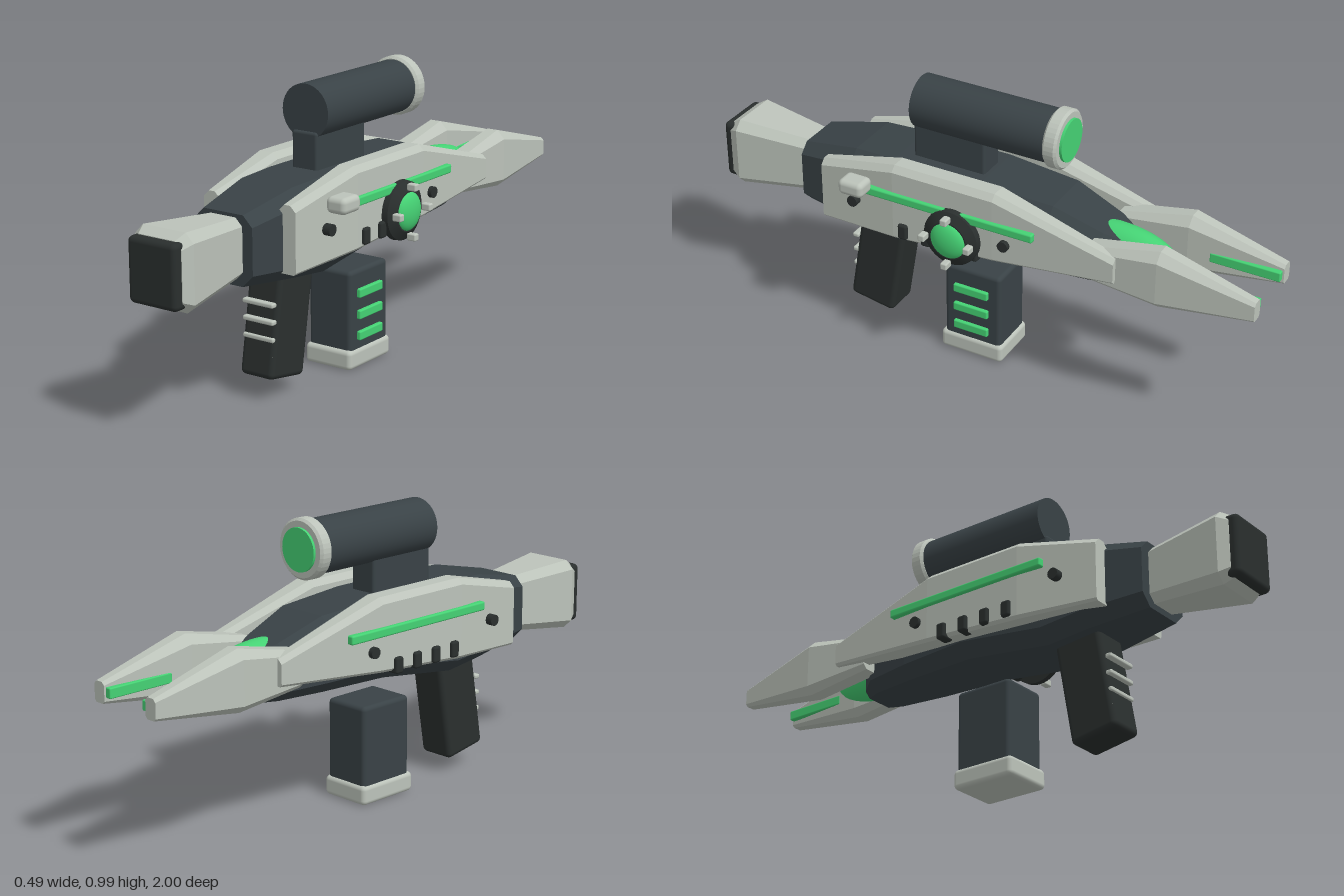
import * as THREE from 'three';
import { RoundedBoxGeometry } from 'three/addons/geometries/RoundedBoxGeometry.js';

const CX = -0.028; // centre line of the blaster
const mat = (color, flatShading = false) => new THREE.MeshStandardMaterial({ color, flatShading });
const LIGHT = 0xbcc3ba, DARK = 0x394246, BLACK = 0x2a2f2e, GREEN = 0x45d274;

// Loft of chamfered rectangles; section = [z, centreX, halfWidth, bottom, top, bottomChamfer, topChamfer]
function loft(sections) {
  const rings = [...sections].sort((a, b) => a[0] - b[0]).map(([z, x, w, y0, y1, cb, ct]) => [
    [x + w - cb, y0, z], [x + w, y0 + cb, z], [x + w, y1 - ct, z], [x + w - ct, y1, z],
    [x - w + ct, y1, z], [x - w, y1 - ct, z], [x - w, y0 + cb, z], [x - w + cb, y0, z],
  ]);
  const index = [];
  const last = (rings.length - 1) * 8;
  for (let i = 0; i < last; i += 8) {
    for (let k = 0; k < 8; k++) {
      const a = i + k, b = i + (k + 1) % 8;
      index.push(a, b, a + 8, b, b + 8, a + 8);
    }
  }
  for (let k = 1; k < 7; k++) index.push(0, k + 1, k, last, last + k, last + k + 1);
  const g = new THREE.BufferGeometry();
  g.setAttribute('position', new THREE.Float32BufferAttribute(rings.flat(2), 3));
  g.setIndex(index);
  const flat = g.toNonIndexed();
  flat.computeVertexNormals();
  return flat;
}

export function createModel() {
  const model = new THREE.Group();
  model.name = 'blaster';

  function add(name, geometry, color, x = 0, y = 0, z = 0, flat = false) {
    const mesh = new THREE.Mesh(geometry, mat(color, flat));
    mesh.name = name;
    mesh.position.set(x, y, z);
    model.add(mesh);
    return mesh;
  }
  const box = (name, color, w, h, d, x, y, z, r = 0.01) =>
    add(name, new RoundedBoxGeometry(w, h, d, 3, r), color, x, y, z);
  const rodZ = (name, color, r, z0, z1, x, y) =>
    add(name, new THREE.CylinderGeometry(r, r, z1 - z0, 40).rotateX(Math.PI / 2), color, x, y, (z0 + z1) / 2);
  const rodX = (r0, r1, h, seg) => new THREE.CylinderGeometry(r1, r0, h, seg).rotateZ(-Math.PI / 2);

  // Receiver
  add('body', loft([
    [0.665, CX, 0.112, 0.428, 0.655, 0.04, 0.035],
    [0.45, CX, 0.145, 0.408, 0.7, 0.045, 0.045],
    [0.3, CX, 0.15, 0.393, 0.705, 0.045, 0.045],
    [-0.02, CX, 0.15, 0.436, 0.705, 0.045, 0.045],
    [-0.28, CX, 0.13, 0.44, 0.69, 0.04, 0.04],
    [-0.45, CX, 0.105, 0.443, 0.63, 0.035, 0.035],
    [-0.5, CX, 0.07, 0.444, 0.61, 0.02, 0.02],
  ]), DARK);

  // Stock and butt pad
  add('stock', loft([
    [0.64, CX, 0.07, 0.452, 0.642, 0.025, 0.025],
    [0.935, CX, 0.112, 0.418, 0.665, 0.03, 0.03],
    [0.97, CX, 0.095, 0.436, 0.645, 0.025, 0.025],
  ]), LIGHT);
  box('buttPad', BLACK, 0.186, 0.208, 0.06, CX, 0.539, 0.97, 0.018);

  // Glowing emitter between the prongs
  add('emitter', new THREE.SphereGeometry(1, 32, 20).scale(0.07, 0.088, 0.22), GREEN, CX, 0.548, -0.46);

  // Mirrored plates, prongs and trim
  for (const s of [1, -1]) {
    const side = (sections) => loft(sections.map(([z, off, ...rest]) => [z, CX + s * off, ...rest]));
    add('sidePlate', side([
      [0.54, 0.148, 0.032, 0.45, 0.67, 0.008, 0.02],
      [0.25, 0.159, 0.046, 0.465, 0.738, 0.01, 0.02],
      [-0.12, 0.159, 0.046, 0.492, 0.738, 0.01, 0.02],
      [-0.54, 0.157, 0.027, 0.53, 0.618, 0.008, 0.015],
    ]), LIGHT);
    add('prong', side([
      [-0.43, 0.12, 0.042, 0.5, 0.62, 0.015, 0.015],
      [-0.68, 0.12, 0.05, 0.473, 0.674, 0.025, 0.03],
      [-1, 0.12, 0.023, 0.517, 0.585, 0.008, 0.01],
    ]), LIGHT);
    box('prongStrip', GREEN, 0.022, 0.034, 0.24, CX + s * 0.086, 0.553, -0.875, 0.004);
    box('sideStrip', GREEN, 0.03, 0.03, 0.62, CX + s * 0.203, 0.63, 0.04, 0.006);
    for (const z of [0.4, -0.165])
      add('bolt', rodX(0.019, 0.019, 0.05, 16), BLACK, CX + s * 0.193, 0.57, z);
    for (let i = 0; i < 4; i++)
      box('vent', BLACK, 0.05, 0.055, 0.034, CX + s * 0.193, 0.507, 0.21 - i * 0.088, 0.008);
  }

  // Power dial with four lugs, and the selector knob
  add('dial', rodX(0.1, 0.098, 0.022, 40), BLACK, 0.187, 0.55, 0.02);
  add('dialRim', rodX(0.098, 0.068, 0.018, 40), BLACK, 0.207, 0.55, 0.02);
  add('dialLens', new THREE.SphereGeometry(1, 32, 20).scale(0.03, 0.066, 0.066), GREEN, 0.208, 0.55, 0.02);
  for (let i = 0; i < 4; i++) {
    const a = i * Math.PI / 2;
    box('dialLug', LIGHT, 0.034, 0.024, 0.024, 0.23, 0.55 + 0.083 * Math.cos(a), 0.02 + 0.083 * Math.sin(a), 0.005);
  }
  box('selectorKnob', LIGHT, 0.075, 0.054, 0.092, 0.21, 0.653, 0.372, 0.018);

  // Scope
  box('scopeMount', DARK, 0.1, 0.15, 0.265, CX, 0.752, 0.125, 0.01);
  rodZ('scopeTube', DARK, 0.09, -0.25, 0.25, CX, 0.89);
  const ring = new THREE.LatheGeometry([[0, -0.025], [0.092, -0.025], [0.1, -0.017], [0.1, 0.017], [0.092, 0.025], [0, 0.025]]
    .map(([r, y]) => new THREE.Vector2(r, y)), 40).rotateX(Math.PI / 2).toNonIndexed();
  ring.computeVertexNormals();
  add('scopeRing', ring, LIGHT, CX, 0.89, -0.262);
  rodZ('scopeLens', GREEN, 0.072, -0.296, -0.27, CX, 0.89);

  // Grip with ribs on its rear face
  const grip = box('grip', BLACK, 0.132, 0.42, 0.172, CX, 0.272, 0.402, 0.018);
  grip.rotation.x = -0.165;
  for (let i = 0; i < 4; i++)
    box('gripRib', LIGHT, 0.122, 0.016, 0.024, CX, 0.32 - i * 0.057, 0.495, 0.006);

  // Detached power cell
  box('cell', DARK, 0.17, 0.29, 0.212, CX, 0.195, 0.02, 0.015);
  box('cellBase', LIGHT, 0.186, 0.068, 0.234, CX, 0.036, 0.022, 0.016);
  for (const y of [0.26, 0.186, 0.113])
    box('cellLight', GREEN, 0.03, 0.031, 0.13, 0.055, y, 0.022, 0.005);

  return model;
}
